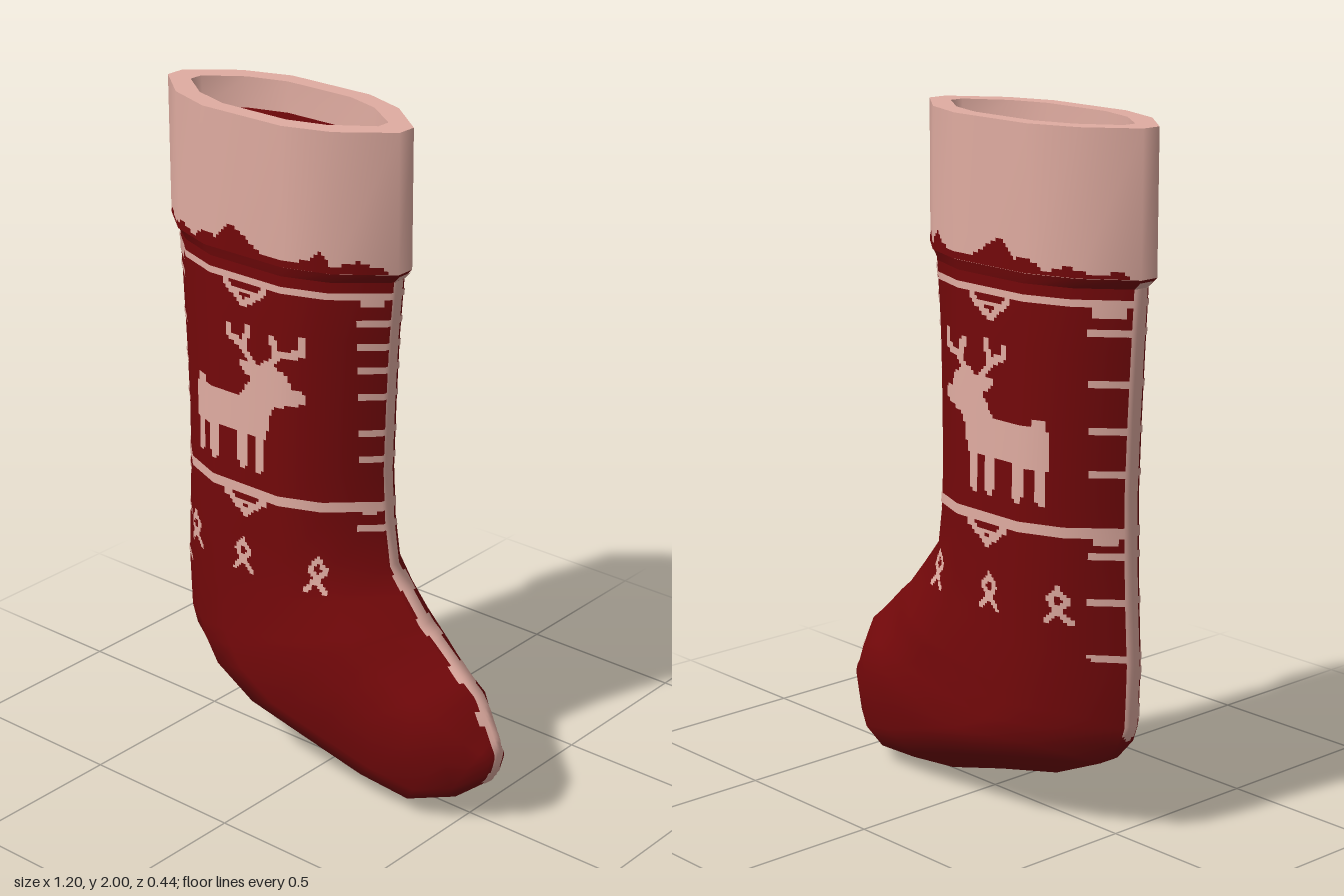
import * as THREE from 'three';

const red = new THREE.MeshStandardMaterial({ color: 0x73080a });
red.name = 'deep red wool';
const pink = new THREE.MeshStandardMaterial({ color: 0xe0aca1 });
pink.name = 'pale pink wool';

// Flattened twelve-sided section: [position from back to front, share of half depth]
const SECTION = [[0, 0.16], [0.155, 0.73], [0.33, 1], [0.667, 1], [0.833, 0.75], [1, 0.16]];
const OUTLINE = [
  ...SECTION.map(([s, h]) => [s, h]),
  ...SECTION.slice().reverse().map(([s, h]) => [s, -h]),
];

// Skin over rings given as [backX, backY, frontX, frontY, halfDepth, widening towards the front]
function loft(rings) {
  const pos = [], index = [], n = OUTLINE.length;
  for (const [bx, by, fx, fy, d, widen = 0] of rings) {
    for (const [s, h] of OUTLINE) {
      pos.push(bx + (fx - bx) * s, by + (fy - by) * s, h * (d + widen * (s - 0.5)));
    }
  }
  for (let i = 0; i < rings.length - 1; i++) {
    for (let j = 0; j < n; j++) {
      const k = (j + 1) % n, u = i * n, l = u + n;
      index.push(l + j, l + k, u + k, l + j, u + k, u + j);
    }
  }
  const g = new THREE.BufferGeometry();
  g.setAttribute('position', new THREE.Float32BufferAttribute(pos, 3));
  g.setIndex(index);
  g.computeVertexNormals();
  return g;
}

// Marks for the knitted pattern: each has a test and a bounding box
function stroke(x0, y0, x1, y1, w) {
  const dx = x1 - x0, dy = y1 - y0, len = dx * dx + dy * dy || 1, r = w / 2;
  return {
    box: [Math.min(x0, x1) - r, Math.min(y0, y1) - r, Math.max(x0, x1) + r, Math.max(y0, y1) + r],
    has(x, y) {
      const t = Math.min(1, Math.max(0, ((x - x0) * dx + (y - y0) * dy) / len));
      return Math.hypot(x - x0 - dx * t, y - y0 - dy * t) <= r;
    },
  };
}
function polygon(p) {
  const xs = p.map((q) => q[0]), ys = p.map((q) => q[1]);
  return {
    box: [Math.min(...xs), Math.min(...ys), Math.max(...xs), Math.max(...ys)],
    has(x, y) {
      let inside = false;
      for (let i = 0, j = p.length - 1; i < p.length; j = i++) {
        const [ax, ay] = p[i], [bx, by] = p[j];
        if (ay > y !== by > y && x < ((bx - ax) * (y - ay)) / (by - ay) + ax) inside = !inside;
      }
      return inside;
    },
  };
}

// Fill marks with small square stitches laid on the target along an axis
function stitches(target, axis, dir, marks, cell = 0.01) {
  const ray = new THREE.Raycaster(), done = new Set();
  const pos = [], nor = [], index = [];
  const toward = axis === 'z' ? new THREE.Vector3(0, 0, -dir) : new THREE.Vector3(-dir, 0, 0);
  const flip = axis === 'z' ? dir < 0 : dir > 0;
  const drop = (u, v) => {
    const from = axis === 'z' ? new THREE.Vector3(u, v, dir * 2) : new THREE.Vector3(dir * 2, v, u);
    ray.set(from, toward);
    return ray.intersectObject(target)[0];
  };
  for (const m of marks) {
    const [x0, y0, x1, y1] = m.box.map((b) => Math.floor(b / cell));
    for (let i = x0; i <= x1; i++) for (let j = y0; j <= y1; j++) {
      const key = i + ',' + j, u = i * cell + 0.0013, v = j * cell + 0.0017;
      if (done.has(key) || !m.has(u + cell / 2, v + cell / 2)) continue;
      done.add(key);
      const hits = [[0, 0], [1, 0], [1, 1], [0, 1]].map(([a, b]) => drop(u + a * cell, v + b * cell));
      if (hits.some((h) => !h)) continue;
      const depth = hits.map((h) => h.distance);
      if (Math.max(...depth) - Math.min(...depth) > 0.05) continue;
      const k = pos.length / 3;
      for (const h of hits) {
        const p = h.point.clone().addScaledVector(toward, -0.004);
        pos.push(p.x, p.y, p.z);
        nor.push(h.normal.x, h.normal.y, h.normal.z);
      }
      index.push(...(flip ? [k, k + 2, k + 1, k, k + 3, k + 2] : [k, k + 1, k + 2, k, k + 2, k + 3]));
    }
  }
  const g = new THREE.BufferGeometry();
  g.setAttribute('position', new THREE.Float32BufferAttribute(pos, 3));
  g.setAttribute('normal', new THREE.Float32BufferAttribute(nor, 3));
  g.setIndex(index);
  return g;
}

export function createModel() {
  const group = new THREE.Group();
  group.name = 'stocking';
  const add = (name, geometry, material) => {
    const mesh = new THREE.Mesh(geometry, material);
    mesh.name = name;
    group.add(mesh);
    return mesh;
  };

  // Leg rings run level, then fan round the ankle to the toe
  const body = add('legAndFoot', loft([
    [-0.57, 1.575, 0.215, 1.575, 0.18], [-0.56, 1.4, 0.2, 1.4, 0.184],
    [-0.55, 1.2, 0.19, 1.2, 0.187], [-0.543, 1, 0.183, 1, 0.19],
    [-0.545, 0.85, 0.19, 0.85, 0.191], [-0.55, 0.7, 0.21, 0.71, 0.192],
    [-0.56, 0.52, 0.265, 0.64, 0.194, 0.02], [-0.555, 0.34, 0.33, 0.56, 0.204, 0.06],
    [-0.535, 0.285, 0.35, 0.545, 0.207, 0.05], [-0.47, 0.215, 0.38, 0.52, 0.21],
    [-0.3, 0.14, 0.42, 0.485, 0.209, -0.065], [-0.07, 0.085, 0.47, 0.44, 0.193, -0.07],
    [0.15, 0.025, 0.52, 0.4, 0.173, -0.06], [0.33, 0.005, 0.565, 0.33, 0.13, -0.11],
    [0.46, 0.05, 0.59, 0.285, 0.078, -0.06], [0.57, 0.14, 0.6, 0.25, 0.036],
    [0.592, 0.2, 0.592, 0.2, 0],
  ]), red);

  // Cuff: separate skins keep the rim edges sharp
  const level = (y, b, f, d) => [b, y, f, y, d];
  const cuff = add('cuffOuter', loft([level(2, -0.6, 0.24, 0.186), level(1.6, -0.6, 0.24, 0.186)]), pink);
  add('cuffRim', loft([level(2, -0.52, 0.16, 0.134), level(2, -0.6, 0.24, 0.186)]), pink);
  add('cuffInner', loft([level(1.91, -0.515, 0.155, 0.132), level(2, -0.52, 0.16, 0.134)]), pink);
  const underside = add('cuffUnderside',
    loft([level(1.6, -0.6, 0.24, 0.186), level(1.57, -0.568, 0.213, 0.18)]), red);
  add('liningWall', loft([level(1.86, -0.46, 0.1, 0.132), level(1.91, -0.515, 0.155, 0.132)]), red);
  add('liningFloor', loft([level(1.86, -0.18, -0.18, 0), level(1.86, -0.46, 0.1, 0.132)]), red);

  // Reindeer
  const deer = [
    polygon([[-0.385, 1.17], [-0.375, 1.2], [-0.345, 1.2], [-0.335, 1.185], [-0.2, 1.185], [-0.155, 1.24],
      [-0.2, 1.275], [-0.195, 1.295], [-0.14, 1.285], [-0.1, 1.31], [-0.03, 1.285], [-0.02, 1.245],
      [0.022, 1.235], [0.02, 1.2], [-0.05, 1.185], [-0.08, 1.17], [-0.1, 1.07], [-0.385, 1.065]]),
    ...[-0.365, -0.297, -0.187, -0.125].map((x) => stroke(x, 1.09, x, 0.98, 0.034)),
    stroke(-0.15, 1.29, -0.19, 1.34, 0.024), stroke(-0.19, 1.34, -0.24, 1.36, 0.024),
    stroke(-0.24, 1.36, -0.235, 1.385, 0.022), stroke(-0.185, 1.34, -0.165, 1.395, 0.022),
    stroke(-0.09, 1.3, -0.05, 1.34, 0.024), stroke(-0.05, 1.34, 0.01, 1.35, 0.024),
    stroke(0.01, 1.35, 0.015, 1.39, 0.022), stroke(-0.07, 1.33, -0.075, 1.385, 0.022),
  ];

  // Bands with a small hanging point
  const bands = [];
  for (const [y, w] of [[1.53, 0.024], [0.895, 0.026]]) {
    bands.push(stroke(-0.57, y, 0.23, y, w), stroke(-0.57, y - 0.02, -0.5, y - 0.02, 0.03),
      stroke(0.16, y - 0.015, 0.22, y - 0.015, 0.026),
      stroke(-0.25, y - 0.02, -0.18, y - 0.07, 0.022), stroke(-0.11, y - 0.02, -0.18, y - 0.07, 0.022),
      stroke(-0.21, y - 0.035, -0.15, y - 0.035, 0.012));
  }

  // Row of snowflakes
  const flakes = [];
  for (const x of [-0.415, -0.19, 0.06]) {
    flakes.push(stroke(x, 0.735, x - 0.022, 0.705, 0.016), stroke(x, 0.735, x + 0.022, 0.705, 0.016),
      stroke(x - 0.022, 0.7, x + 0.03, 0.64, 0.017), stroke(x + 0.022, 0.7, x - 0.03, 0.64, 0.017));
  }

  // Short ticks growing from the seams
  const heelTicks = [1.45, 1.31, 1.18, 1.06, 0.83, 0.7, 0.545];
  const toeTicks = [1.45, 1.38, 1.31, 1.23, 1.12, 1.04, 0.83];
  const ticks = [
    ...heelTicks.map((y) => stroke(-0.57, y, -0.49, y, 0.02)),
    ...toeTicks.map((y) => stroke(0.15, y, 0.21, y, 0.018)),
  ];

  // Ragged lower edge of the cuff
  const hem = [polygon([[-0.585, 1.6], [-0.57, 1.62], [-0.5, 1.612], [-0.44, 1.632], [-0.38, 1.612],
    [-0.33, 1.645], [-0.28, 1.635], [-0.23, 1.688], [-0.16, 1.65], [-0.12, 1.625], [-0.03, 1.62],
    [0.03, 1.63], [0.065, 1.66], [0.1, 1.622], [0.16, 1.638], [0.21, 1.615], [0.225, 1.6]])];

  for (const [side, dir] of [['front', 1], ['back', -1]]) {
    add(side + 'Reindeer', stitches(body, 'z', dir, deer), pink);
    add(side + 'Bands', stitches(body, 'z', dir, bands), pink);
    add(side + 'Snowflakes', stitches(body, 'z', dir, flakes, 0.008), pink);
    add(side + 'Ticks', stitches(body, 'z', dir, ticks), pink);
    add(side + 'CuffHem', stitches(cuff, 'z', dir, hem), red);
  }

  // Seams down the toe side and the heel side, with ticks and bands crossing them
  const bulges = (from, to) => {
    const list = [];
    for (let y = from; y > to; y -= 0.11) list.push(stroke(0, y, 0, y - 0.02, 0.055));
    return list;
  };
  const crossings = (heights) => [
    ...heights.map((y) => stroke(-0.06, y, 0.06, y, 0.018)),
    ...[1.53, 0.895].map((y) => stroke(-0.1, y, 0.1, y, 0.024)),
  ];
  add('toeSeam', stitches(body, 'x', 1, [stroke(0, 1.56, 0, 0.16, 0.036),
    stroke(0, 0.165, 0, 0.16, 0.06), ...bulges(0.68, 0.25), ...crossings(toeTicks)]), pink);
  add('heelSeam', stitches(body, 'x', -1, [stroke(0, 1.56, 0, 0.32, 0.05),
    ...bulges(0.5, 0.35), ...crossings(heelTicks)]), pink);
  for (const [side, dir] of [['toe', 1], ['heel', -1]]) {
    add(side + 'SeamTop', stitches(underside, 'x', dir, [stroke(0, 1.6, 0, 1.57, 0.05)]), pink);
  }

  return group;
}
